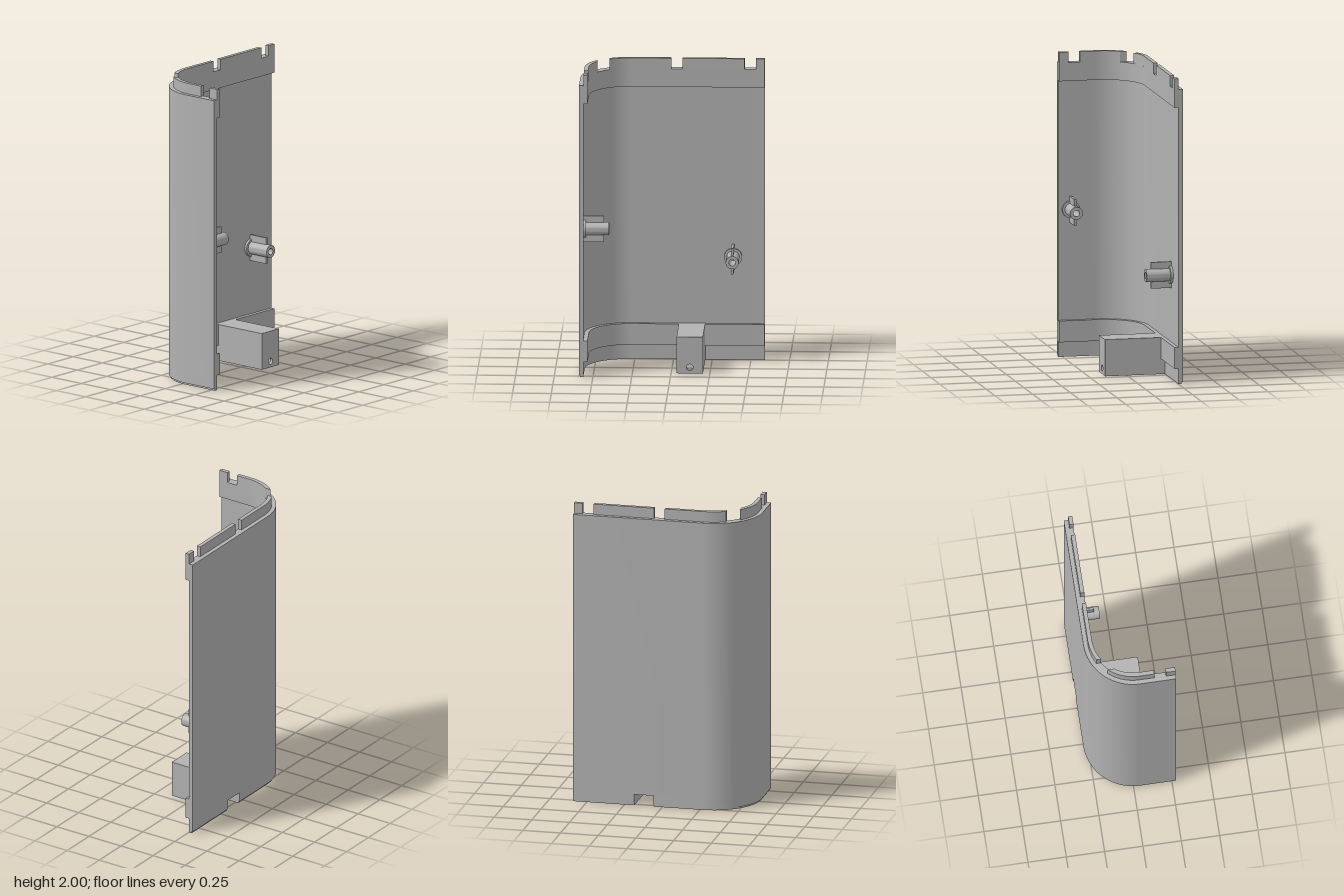
import * as THREE from 'three';
import { toCreasedNormals, mergeGeometries } from 'three/addons/utils/BufferGeometryUtils.js';

// Plan of the wall: straight side along z, rounded corner, short front along x
const R = 0.32, CX = 0.04, CZ = 0.27;
const BACK = ['z', -0.59], FRONT = ['x', 0.278];
const OUT = 0.028, IN = 0.055; // skin depth and band depth

const grey = new THREE.MeshStandardMaterial({ color: 0xb2b2b2 });
grey.name = 'grey plastic';

// Points along the plan at inward offset o, between two cuts [axis, value]
function planPoints(o, from, to) {
  const r = R - o;
  const angle = ([axis, v]) => axis === 'x' ? Math.PI / 2 : v <= CZ ? 0 : Math.asin((v - CZ) / r);
  const a0 = angle(from), a1 = angle(to), pts = [];
  if (from[0] === 'z' && from[1] < CZ) pts.push([CX - r, from[1]]);
  if (from[0] === 'x') pts.push([from[1], CZ + r]);
  if (a1 > a0) {
    const n = Math.ceil((a1 - a0) / 0.055);
    for (let i = 0; i <= n; i++) {
      const a = a0 + (a1 - a0) * i / n;
      pts.push([CX - r * Math.cos(a), CZ + r * Math.sin(a)]);
    }
  }
  if (to[0] === 'z' && to[1] < CZ) pts.push([CX - r, to[1]]);
  if (to[0] === 'x') pts.push([to[1], CZ + r]);
  return pts;
}

// Upright strip of wall between two offsets and two heights
function strip(from, to, o0, o1, y0, y1) {
  const loop = [...planPoints(o0, from, to), ...planPoints(o1, from, to).reverse()];
  const shape = new THREE.Shape(loop.map(([x, z]) => new THREE.Vector2(x, -z)));
  const g = new THREE.ExtrudeGeometry(shape, { depth: y1 - y0, bevelEnabled: false });
  g.rotateX(-Math.PI / 2).translate(0, y0, 0);
  return toCreasedNormals(g, 0.5);
}

function box(x0, x1, y0, y1, z0, z1) {
  return new THREE.BoxGeometry(x1 - x0, y1 - y0, z1 - z0)
    .translate((x0 + x1) / 2, (y0 + y1) / 2, (z0 + z1) / 2);
}

function add(parent, name, geometry) {
  const m = new THREE.Mesh(geometry, grey);
  m.name = name;
  parent.add(m);
  return m;
}

// Screw boss rising along +y, with a base flange, blind hole and two fins
function screwBoss(name, height, finHeight) {
  const g = new THREE.Group();
  g.name = name;
  const profile = [[0.058, 0], [0.058, 0.016], [0.042, 0.016], [0.042, height],
    [0.021, height], [0.021, 0.02], [0, 0.02]].map(p => new THREE.Vector2(...p));
  add(g, 'bossTube', toCreasedNormals(new THREE.LatheGeometry(profile, 32), 0.5));
  for (const s of [-1, 1]) {
    const fin = add(g, 'bossFin', new THREE.BoxGeometry(0.052, finHeight, 0.015));
    fin.position.set(s * 0.06, finHeight / 2, 0);
  }
  return g;
}

export function createModel() {
  const model = new THREE.Group();
  model.name = 'cornerCover';

  // Outer skin, with a slot at its foot behind the bracket
  const slot0 = -0.185, slot1 = -0.055, slotTop = 0.075, foot = 0.012;
  add(model, 'outerSkin', strip(BACK, FRONT, 0, OUT, slotTop, 1.93));
  const pieces = [[BACK, ['z', slot0]], [['z', slot1], FRONT]];
  for (const [a, b] of pieces) {
    add(model, 'skinFoot', strip(a, b, 0, OUT, foot, slotTop));
    add(model, 'footRim', strip(a, b, 0.008, OUT, 0, foot));
  }

  // Thickened inner bands
  add(model, 'lowerBand', strip(BACK, FRONT, OUT, IN, 0.1, 0.24));
  add(model, 'upperBand', strip(BACK, FRONT, OUT, IN, 1.81, 1.93));

  // Locating tabs along the top
  const tabs = [
    [BACK, ['z', -0.533]],
    [['z', -0.46], ['z', -0.058]],
    [['z', 0.012], ['z', 0.41]],
    [['z', 0.487], ['x', 0.14]],
    [['x', 0.215], FRONT],
  ];
  for (const [a, b] of tabs) add(model, 'topTab', strip(a, b, OUT, IN, 1.93, 2));

  // Bracket: solid upper block over a channel open below
  const bracket = new THREE.Group();
  bracket.name = 'bracket';
  model.add(bracket);
  const x0 = CX - R + OUT, x1 = 0.145, z0 = -0.205, z1 = -0.035, t = 0.02;
  add(bracket, 'bracketBlock', box(x0, x1, slotTop, 0.24, z0, z1));
  add(bracket, 'bracketSides', mergeGeometries([
    box(x0, x1, 0, slotTop, z0, z0 + t), box(x0, x1, 0, slotTop, z1 - t, z1)]));
  // End plate with a screw hole
  const w = z1 - z0 - 2 * t;
  const plate = new THREE.Shape([[-w / 2, 0], [w / 2, 0], [w / 2, slotTop], [-w / 2, slotTop]]
    .map(p => new THREE.Vector2(...p)));
  plate.holes.push(new THREE.Path().absarc(0, 0.04, 0.021, 0, Math.PI * 2, true));
  const end = new THREE.ExtrudeGeometry(plate, { depth: t, bevelEnabled: false, curveSegments: 24 });
  end.rotateY(Math.PI / 2).translate(x1 - t, 0, (z0 + z1) / 2);
  add(bracket, 'bracketEnd', toCreasedNormals(end, 0.5));

  // Screw bosses on the side wall and the front wall
  const side = screwBoss('sideBoss', 0.172, 0.137);
  side.rotation.set(Math.PI / 2, 0, -Math.PI / 2, 'ZYX');
  side.rotation.set(0, 0, -Math.PI / 2);
  side.position.set(x0, 0.682, -0.385);
  model.add(side);
  const front = screwBoss('frontBoss', 0.164, 0.13);
  front.rotation.set(-Math.PI / 2, 0, Math.PI / 2, 'XYZ');
  front.quaternion.setFromRotationMatrix(new THREE.Matrix4().makeBasis(
    new THREE.Vector3(0, 1, 0), new THREE.Vector3(0, 0, -1), new THREE.Vector3(-1, 0, 0)));
  front.position.set(0.195, 0.965, CZ + R - OUT);
  model.add(front);

  return model;
}
